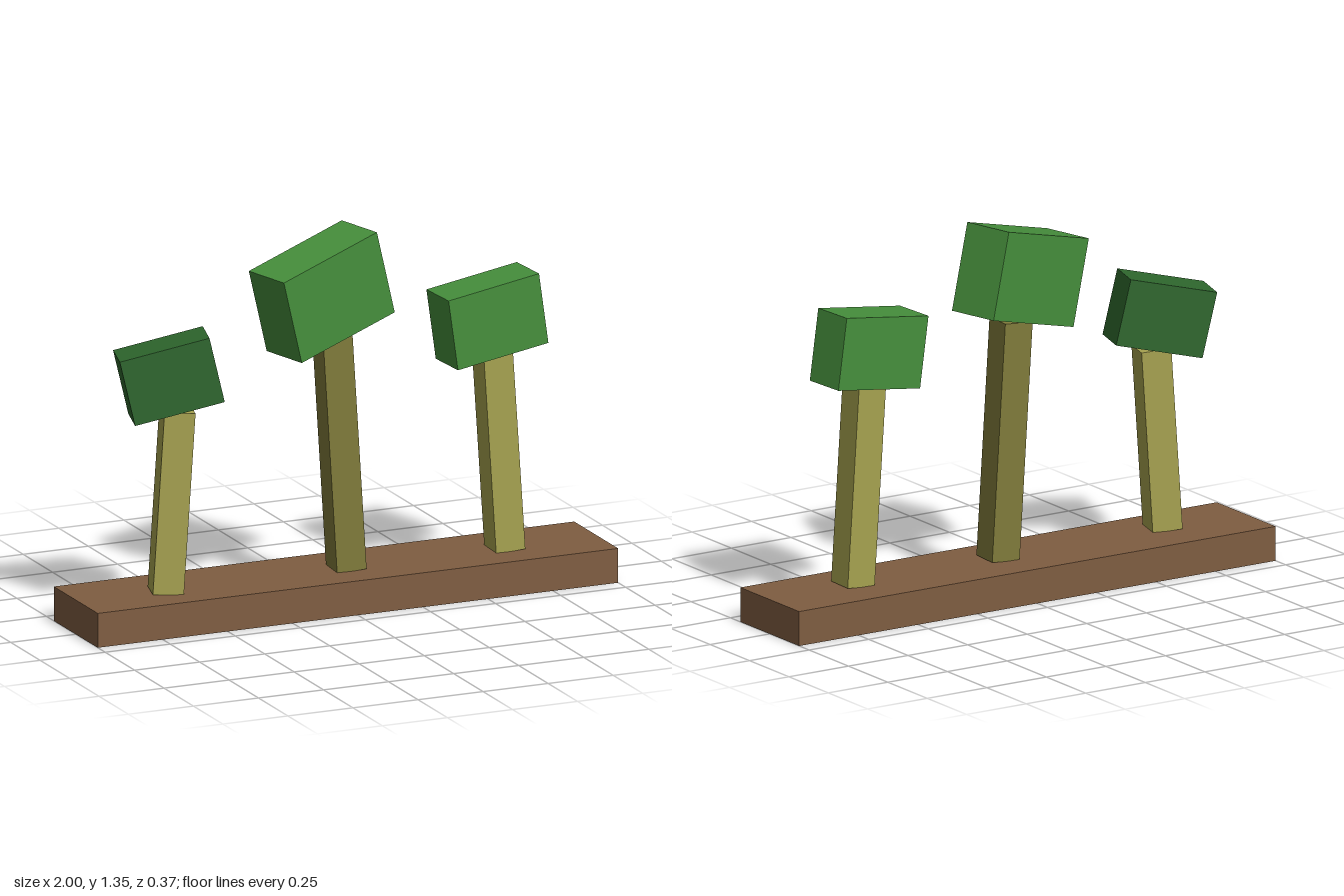
import * as THREE from 'three';

const paint = (name, color, extra = {}) => {
  const m = new THREE.MeshStandardMaterial({ color, ...extra });
  m.name = name;
  return m;
};

// Box turned about the vertical axis, then rolled in its own plane (degrees)
function tiltedBox(name, size, position, yaw, roll, material) {
  const mesh = new THREE.Mesh(new THREE.BoxGeometry(...size), material);
  mesh.name = name;
  mesh.position.set(...position);
  mesh.rotation.set(0, THREE.MathUtils.degToRad(yaw), THREE.MathUtils.degToRad(roll), 'YXZ');
  return mesh;
}

// Trunk standing between a foot point and a top point
function trunk(foot, top, yaw, roll, material) {
  const a = new THREE.Vector3(...foot), b = new THREE.Vector3(...top);
  const middle = a.clone().add(b).multiplyScalar(0.5);
  return tiltedBox('trunk', [0.11, a.distanceTo(b), 0.113], middle.toArray(), yaw, roll, material);
}

export function createModel() {
  const model = new THREE.Group();
  model.name = 'treeRow';

  const soil = paint('soil brown', 0x7f5d41, { side: THREE.DoubleSide });
  const bark = paint('light bark', 0xa6a24f);
  const darkBark = paint('dark bark', 0x807b3a);
  const leaf = paint('leaf green', 0x468f3c);
  const darkLeaf = paint('dark leaf green', 0x2e672d);

  // Base slab, hollow and open underneath
  const slab = new THREE.BoxGeometry(2, 0.125, 0.374);
  const index = Array.from(slab.index.array);
  index.splice(18, 6);
  slab.setIndex(index);
  slab.clearGroups();
  const base = new THREE.Mesh(slab, soil);
  base.name = 'base';
  base.position.y = 0.0625;
  model.add(base);

  // Three leaning trees, each a trunk and a block of leaves
  const trees = [
    {
      name: 'rightTree',
      trunk: [[-0.665, 0.125, 0.024], [-0.625, 0.785, 0.035], -15, -3.6, bark],
      crown: [[0.326, 0.241, 0.155], [-0.652, 0.905, 0.022], -15.5, 13, darkLeaf],
    },
    {
      name: 'middleTree',
      trunk: [[0.035, 0.125, 0.01], [-0.018, 0.985, 0.008], -4, 3.5, darkBark],
      crown: [[0.432, 0.316, 0.196], [-0.06, 1.14, 0.012], 14.5, 14.7, leaf],
    },
    {
      name: 'leftTree',
      trunk: [[0.644, 0.125, 0.011], [0.597, 0.845, 0.009], -2.5, 3.7, bark],
      crown: [[0.362, 0.26, 0.166], [0.58, 0.973, 0.004], 3.6, 8.2, leaf],
    },
  ];
  for (const t of trees) {
    const tree = new THREE.Group();
    tree.name = t.name;
    tree.add(trunk(...t.trunk), tiltedBox('crown', ...t.crown));
    model.add(tree);
  }
  return model;
}
